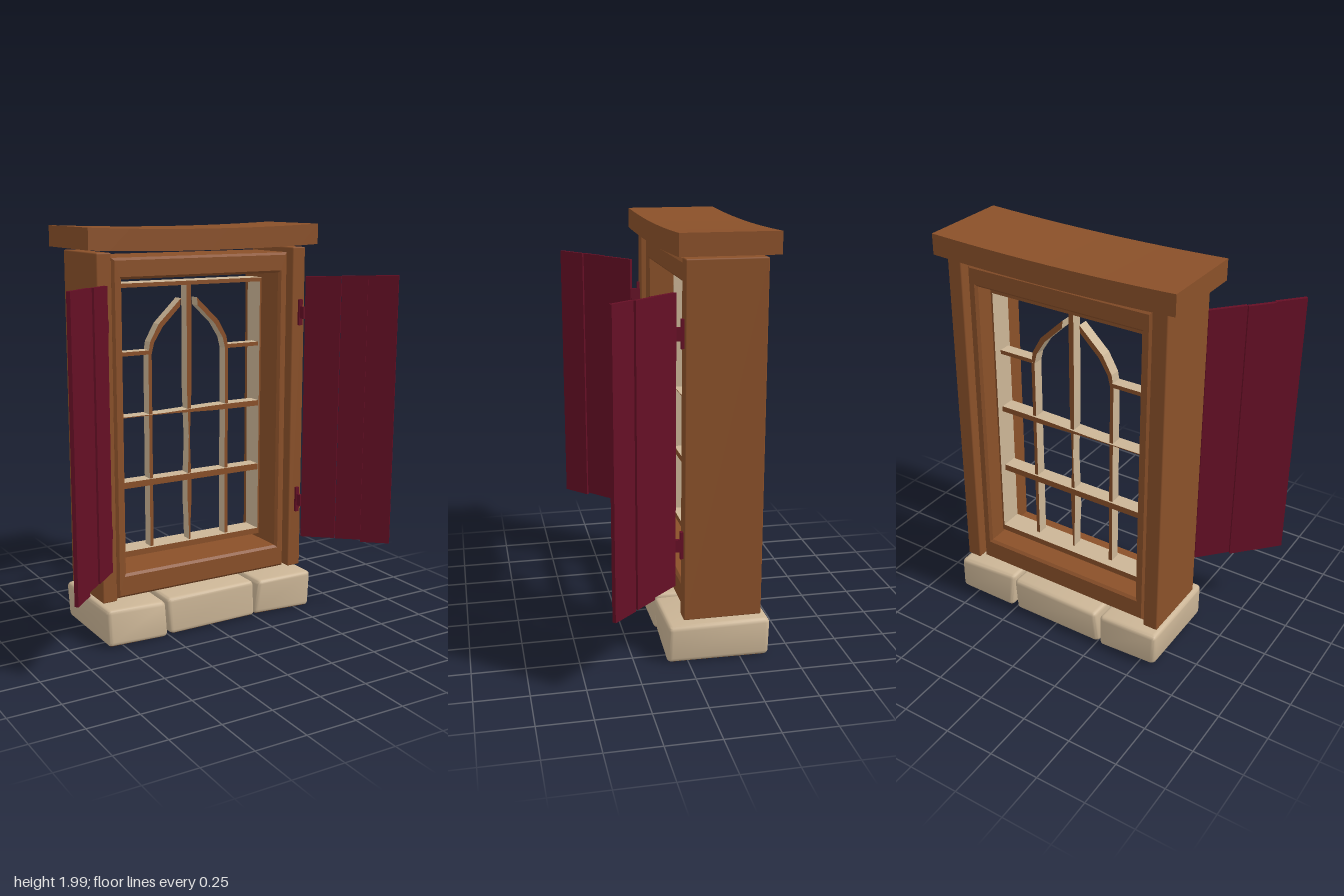
import * as THREE from 'three';
import { RoundedBoxGeometry } from 'three/addons/geometries/RoundedBoxGeometry.js';
import { toCreasedNormals } from 'three/addons/utils/BufferGeometryUtils.js';

const mat = (name, color) => new THREE.MeshStandardMaterial({ name, color });

export function createModel() {
  const model = new THREE.Group();
  model.name = 'shutteredWindow';
  const wood = mat('brown wood', 0x8a5029);
  const stone = mat('pale stone', 0xcbb596);
  const paint = mat('burgundy paint', 0x650f25);
  // brown on the front and back, pale on the other sides
  const barMats = [stone, stone, stone, stone, wood, wood];

  const add = (parent, name, geo, material, x = 0, y = 0, z = 0) => {
    const m = new THREE.Mesh(geo, material);
    m.name = name;
    m.position.set(x, y, z);
    parent.add(m);
    return m;
  };
  const bend = (geo, rule) => {
    const p = geo.attributes.position;
    const v = new THREE.Vector3();
    for (let i = 0; i < p.count; i++) {
      rule(v.fromBufferAttribute(p, i));
      p.setXYZ(i, v.x, v.y, v.z);
    }
    geo.computeVertexNormals();
    return geo;
  };

  // Lintel, sagging a little in the middle
  const lintel = bend(new THREE.BoxGeometry(1.25, 0.1, 0.45, 12, 1, 1), (v) => {
    v.y -= 0.014 * (1 - (v.x / 0.625) ** 2);
  });
  add(model, 'lintel', lintel, wood, -0.005, 1.95, -0.165);

  // Side posts
  for (const s of [-1, 1]) {
    add(model, s > 0 ? 'leftPost' : 'rightPost',
      new RoundedBoxGeometry(0.075, 1.67, 0.37, 1, 0.006), wood, s * 0.537, 1.05, -0.165);
  }

  // Main frame with bevelled edges
  const rect = (P, x, y0, y1) => {
    const p = new P();
    p.moveTo(-x, y0); p.lineTo(x, y0); p.lineTo(x, y1); p.lineTo(-x, y1); p.closePath();
    return p;
  };
  const frame = rect(THREE.Shape, 0.473, 0.227, 1.848);
  frame.holes.push(rect(THREE.Path, 0.447, 0.322, 1.772));
  add(model, 'frame', new THREE.ExtrudeGeometry(frame, {
    depth: 0.3, bevelEnabled: true, bevelSize: 0.012, bevelThickness: 0.012, bevelSegments: 1,
  }), wood, 0, 0, -0.315);

  // Sill stones, worn and uneven
  const stones = [[-0.585, -0.268], [-0.255, 0.245], [0.257, 0.592]];
  stones.forEach(([x0, x1], i) => {
    const geo = bend(new RoundedBoxGeometry(x1 - x0, 0.185, 0.485, 2, 0.022), (v) => {
      const { x, y, z } = v;
      v.x += 0.006 * Math.sin(y * 17 + z * 9 + i * 2);
      v.y += 0.006 * Math.sin(x * 13 + z * 11 + i * 3);
      v.z += 0.007 * Math.sin(x * 15 + y * 21 + i);
    });
    add(model, 'sillStone' + (i + 1), toCreasedNormals(geo, 0.7),
      [stone, stone, stone, wood, stone, stone], (x0 + x1) / 2, 0.106, -0.147);
  });

  // Lattice: thin lining, bars and pointed arch
  const lattice = new THREE.Group();
  lattice.name = 'lattice';
  model.add(lattice);
  const box = (name, w, h, d, x, y, z) =>
    add(lattice, name, new THREE.BoxGeometry(w, h, d), barMats, x, y, z);
  const zBar = -0.178;
  const zLining = -0.192;
  for (const s of [-1, 1]) {
    box('liningSide', 0.009, 1.36, 0.115, s * 0.411, 1.05, zLining);
    box('sideBar', 0.018, 1.0, 0.055, s * 0.219, 0.89, zBar);
    box('shortBar', 0.19, 0.02, 0.06, s * 0.315, 1.39, zBar);

    // Arch limb as a chain of strips with shared joints
    const pts = [[0.228, 1.38], [0.218, 1.44], [0.17, 1.525], [0.045, 1.645]];
    const inner = [[0.21, 1.38], [0.196, 1.435], [0.148, 1.51], [0.05, 1.605]];
    const limb = new THREE.Shape([...pts, ...inner.reverse()]
      .map(([x, y]) => new THREE.Vector2(s * x, y)));
    add(lattice, 'archLimb', new THREE.ExtrudeGeometry(limb, { depth: 0.055, bevelEnabled: false }),
      [wood, stone], 0, 0, zBar - 0.0275);
  }
  box('liningTop', 0.826, 0.02, 0.115, 0, 1.72, zLining);
  box('liningBottom', 0.826, 0.03, 0.115, 0, 0.385, zLining);
  box('lowerBar', 0.818, 0.032, 0.075, 0, 0.738, zBar);

  // Middle bar thins towards one end; centre bar is uneven in width
  add(lattice, 'middleBar', bend(new THREE.BoxGeometry(0.818, 0.028, 0.075, 6, 1, 1), (v) => {
    v.y *= THREE.MathUtils.clamp(0.55 + v.x * 2.5, 0.15, 1);
  }), barMats, 0, 1.08, zBar);
  add(lattice, 'centreBar', bend(new THREE.BoxGeometry(0.026, 1.32, 0.055, 1, 12, 1), (v) => {
    v.x *= v.y > 0.15 ? 1 : 0.6 + 0.35 * Math.sin(v.y * 12);
  }), barMats, 0, 1.06, zBar);

  // Open shutters of three planks, with two hinges each
  for (const s of [-1, 1]) {
    const shutter = new THREE.Group();
    shutter.name = s > 0 ? 'leftShutter' : 'rightShutter';
    shutter.position.set(s * 0.55, 0, 0.062);
    shutter.rotation.y = -s * THREE.MathUtils.degToRad(45.5);
    model.add(shutter);
    const planks = [[0, 0.18, 0, 1.745, 0.39], [0.18, 0.312, -0.009, 1.75, 0.39],
      [0.312, 0.462, 0, 1.755, 0.385]];
    for (const [a, b, z, top, bottom] of planks) {
      const plank = bend(new THREE.BoxGeometry(b - a - 0.002, top - bottom, 0.018), (v) => {
        v.y += s * v.x * 0.03;
      });
      add(shutter, 'plank', plank, paint, s * (a + b) / 2, (top + bottom) / 2, z);
    }
    for (const y of [0.58, 1.56]) {
      add(model, 'hingePlate', new THREE.BoxGeometry(0.02, 0.13, 0.016), paint, s * 0.545, y, 0.026);
      add(model, 'hingePin', new THREE.BoxGeometry(0.016, 0.06, 0.04), paint, s * 0.547, y, 0.045);
    }
  }
  return model;
}
